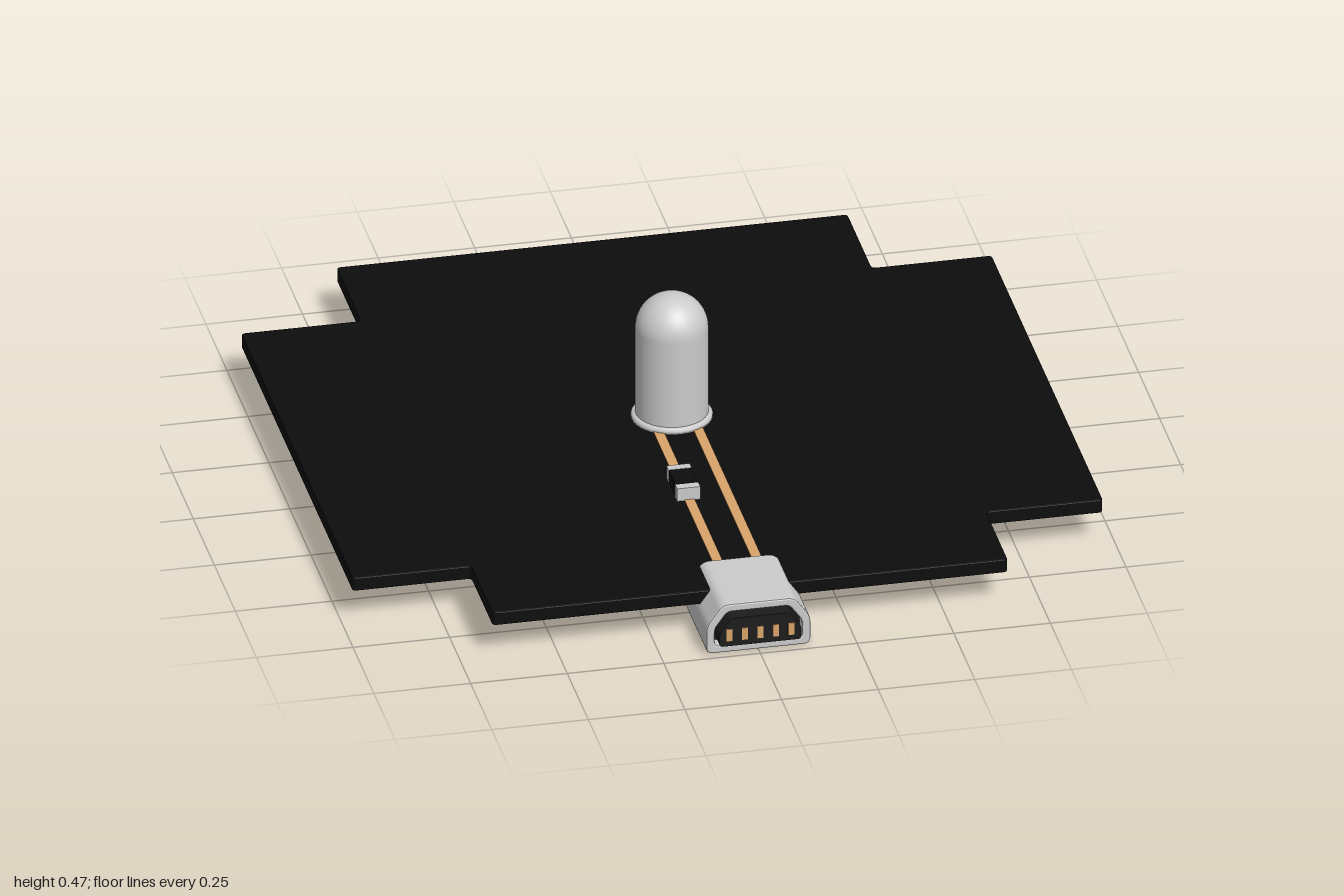
import * as THREE from 'three';

const mat = (color) => new THREE.MeshStandardMaterial({ color });
const grey = mat(0xcccccc);
const boardBlack = mat(0x0d0d0d);
const plasticBlack = mat(0x1c1c1c);
const copper = mat(0xd9a36a);

// Box given by its centre and size
function box(name, material, [x, y, z], [w, h, d]) {
  const mesh = new THREE.Mesh(new THREE.BoxGeometry(w, h, d), material);
  mesh.name = name;
  mesh.position.set(x, y, z);
  return mesh;
}

// Closed outline with rounded corners
function roundedOutline(points, r, Type = THREE.Shape) {
  const path = new Type();
  const pts = points.map(([x, y]) => new THREE.Vector2(x, y));
  pts.forEach((p, i) => {
    const toward = (q) => q.clone().sub(p).setLength(r).add(p);
    const a = toward(pts.at(i - 1));
    const b = toward(pts[(i + 1) % pts.length]);
    if (i === 0) path.moveTo(a.x, a.y);
    else path.lineTo(a.x, a.y);
    path.quadraticCurveTo(p.x, p.y, b.x, b.y);
  });
  path.closePath();
  return path;
}

// Plug cross-section: flat base, upright sides, sloped shoulders
function plugSection(inset) {
  const w = 0.135 - inset, low = inset, high = 0.137 - inset;
  const top = 0.093 - inset * 0.6, shoulder = 0.078 - inset * 0.4;
  return [[-w, low], [w, low], [w, shoulder], [top, high], [-top, high], [-w, shoulder]];
}

function extrude(name, material, shape, depth, z, bevel = 0) {
  const geometry = new THREE.ExtrudeGeometry(shape, {
    depth: depth - 2 * bevel, curveSegments: 6, bevelEnabled: bevel > 0,
    bevelSize: bevel, bevelOffset: -bevel, bevelThickness: bevel, bevelSegments: 2,
  });
  geometry.translate(0, 0, z + bevel);
  const mesh = new THREE.Mesh(geometry, material);
  mesh.name = name;
  return mesh;
}

export function createModel() {
  const model = new THREE.Group();
  model.name = 'lampCircuitBoard';

  // Board with four notched corners (outline in x and -z)
  const outline = [
    [-0.665, -0.87], [0.668, -0.87], [0.668, -0.613], [0.97, -0.613], [0.97, 0.71],
    [0.66, 0.71], [0.66, 1], [-0.662, 1], [-0.662, 0.71], [-0.972, 0.71],
    [-0.972, -0.617], [-0.665, -0.617],
  ];
  const board = extrude('board', boardBlack, roundedOutline(outline, 0.012), 0.038, 0, 0.003);
  board.rotation.x = -Math.PI / 2;
  board.position.y = 0.087;
  model.add(board);

  // Copper traces
  const traces = new THREE.Group();
  traces.name = 'traces';
  for (const x of [-0.052, 0.049]) {
    traces.add(box('trace', copper, [x, 0.1255, 0.35], [0.026, 0.004, 0.82]));
  }
  model.add(traces);

  // Domed lamp: flange, straight body and round top
  const profile = [[0, 0.124], [0.104, 0.124], [0.104, 0.132], [0.1, 0.137], [0.093, 0.139], [0.093, 0.379]]
    .map(([r, y]) => new THREE.Vector2(r, y));
  const flange = new THREE.Mesh(new THREE.LatheGeometry(profile.slice(0, 5), 40), grey);
  flange.name = 'lampFlange';
  const body = new THREE.Mesh(new THREE.LatheGeometry(profile.slice(4), 40), grey);
  body.name = 'lampBody';
  const dome = new THREE.Mesh(
    new THREE.SphereGeometry(0.093, 40, 16, 0, Math.PI * 2, 0, Math.PI / 2), grey);
  dome.name = 'lampDome';
  dome.position.y = 0.379;
  const lamp = new THREE.Group();
  lamp.name = 'lamp';
  lamp.position.z = -0.056;
  lamp.add(flange, body, dome);
  model.add(lamp);

  // Resistor with a metal cap at each end
  const resistor = new THREE.Group();
  resistor.name = 'resistor';
  resistor.add(box('resistorBody', boardBlack, [-0.054, 0.142, 0.333], [0.058, 0.036, 0.09]));
  for (const z of [0.28, 0.383]) {
    resistor.add(box('resistorCap', grey, [-0.054, 0.142, z], [0.06, 0.038, 0.023]));
  }
  model.add(resistor);

  // Connector: hollow metal shell around a black core
  const connector = new THREE.Group();
  connector.name = 'connector';
  const shellShape = roundedOutline(plugSection(0), 0.018);
  shellShape.holes.push(roundedOutline(plugSection(0.022), 0.012, THREE.Path));
  connector.add(extrude('connectorShell', grey, shellShape, 0.24, 0.737, 0.005));
  connector.add(extrude('connectorCore', plasticBlack,
    roundedOutline(plugSection(0.029), 0.01), 0.238, 0.76));
  connector.add(extrude('connectorSeat', plasticBlack,
    roundedOutline(plugSection(0.02), 0.01), 0.18, 0.765));

  // Contact pins across the core's front
  for (let i = -2; i <= 2; i++) {
    connector.add(box('contactPin', copper, [i * 0.04, 0.061, 0.99], [0.016, 0.034, 0.02]));
  }
  model.add(connector);

  return model;
}
